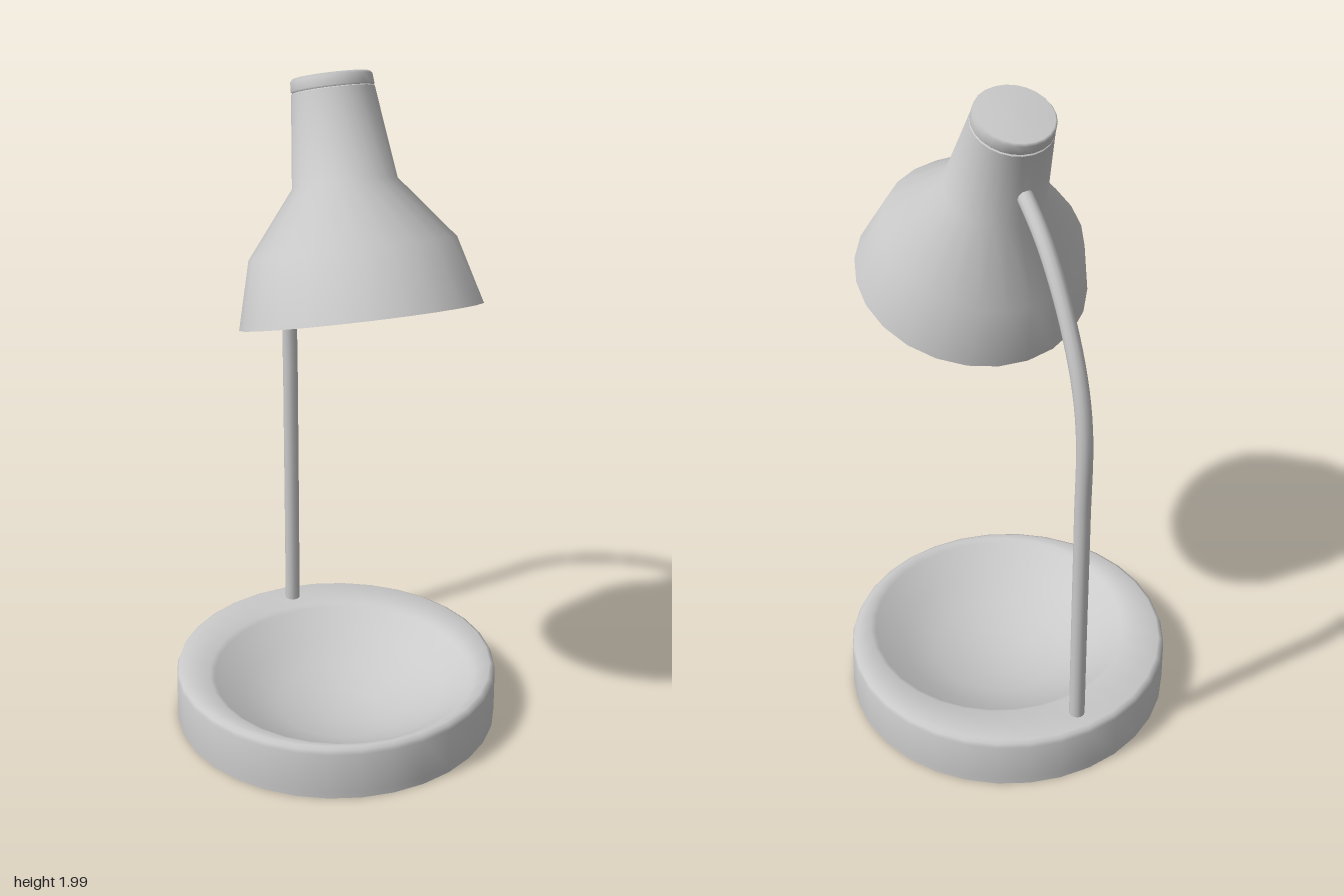
import * as THREE from 'three';
import { toCreasedNormals } from 'three/addons/utils/BufferGeometryUtils.js';

const lathe = (points, segments = 24) =>
  new THREE.LatheGeometry(points.map(([r, y]) => new THREE.Vector2(r, y)), segments);

export function createModel() {
  const lamp = new THREE.Group();
  lamp.name = 'deskLamp';
  const grey = new THREE.MeshStandardMaterial({ color: 0xcacaca });
  grey.name = 'grey';

  const add = (parent, name, geometry) => {
    const mesh = new THREE.Mesh(geometry, grey);
    mesh.name = name;
    parent.add(mesh);
    return mesh;
  };

  // Round base with a deep dish; the dish rings are moved towards the front
  const baseGeo = lathe([
    [0, 0], [0.485, 0], [0.485, 0.02], [0.484, 0.145], [0.479, 0.158], [0.468, 0.164],
    [0.4, 0.164], [0.385, 0.155], [0.3, 0.095], [0.2, 0.052], [0.1, 0.028], [0, 0.02],
  ], 32);
  const pos = baseGeo.attributes.position;
  const ringCount = 12, firstDishRing = 6;
  for (let i = 0; i < pos.count; i++) {
    if (i % ringCount >= firstDishRing) pos.setZ(i, pos.getZ(i) + 0.058);
  }
  add(lamp, 'base', toCreasedNormals(baseGeo, 0.75)).position.z = -0.015;

  // Upright arm, bending forward into the neck of the shade
  const armPath = new THREE.CatmullRomCurve3([
    [0.14, -0.423], [0.5, -0.421], [0.9, -0.42], [1.18, -0.418], [1.34, -0.384],
    [1.51, -0.306], [1.655, -0.203], [1.745, -0.1], [1.77, -0.06],
  ].map(([y, z]) => new THREE.Vector3(0, y, z)));
  add(lamp, 'arm', new THREE.TubeGeometry(armPath, 48, 0.023, 12));

  // Tilted head, with its origin at the centre of the opening
  const head = new THREE.Group();
  head.name = 'head';
  head.position.set(0, 1.357, 0.19);
  head.rotation.x = -0.345;
  lamp.add(head);

  // The shade and cap lean back a little more than the opening
  const lean = new THREE.Matrix4().makeShear(0, 0, 0, -0.035, 0, 0);

  // Thin shell: down the inside, round the rim, up the outside
  add(head, 'shade', toCreasedNormals(lathe([
    [0, 0.58], [0.1, 0.58], [0.132, 0.358], [0.272, 0.18], [0.322, 0],
    [0.332, 0], [0.283, 0.183], [0.143, 0.358], [0.113, 0.607], [0.106, 0.611], [0, 0.611],
  ]).applyMatrix4(lean), 0.65));

  // Cap closing the top of the neck, softly rounded
  add(head, 'cap', lathe([
    [0.1, 0.607], [0.107, 0.607], [0.113, 0.614], [0.111, 0.64], [0.105, 0.647], [0, 0.649],
  ]).applyMatrix4(lean));

  // Bulb and its socket
  add(head, 'bulb', new THREE.SphereGeometry(0.14, 24, 16)).position.set(0, 0.166, -0.005);
  add(head, 'socket', new THREE.CylinderGeometry(0.06, 0.07, 0.3, 16).translate(0, 0.43, 0).applyMatrix4(lean));

  return lamp;
}
